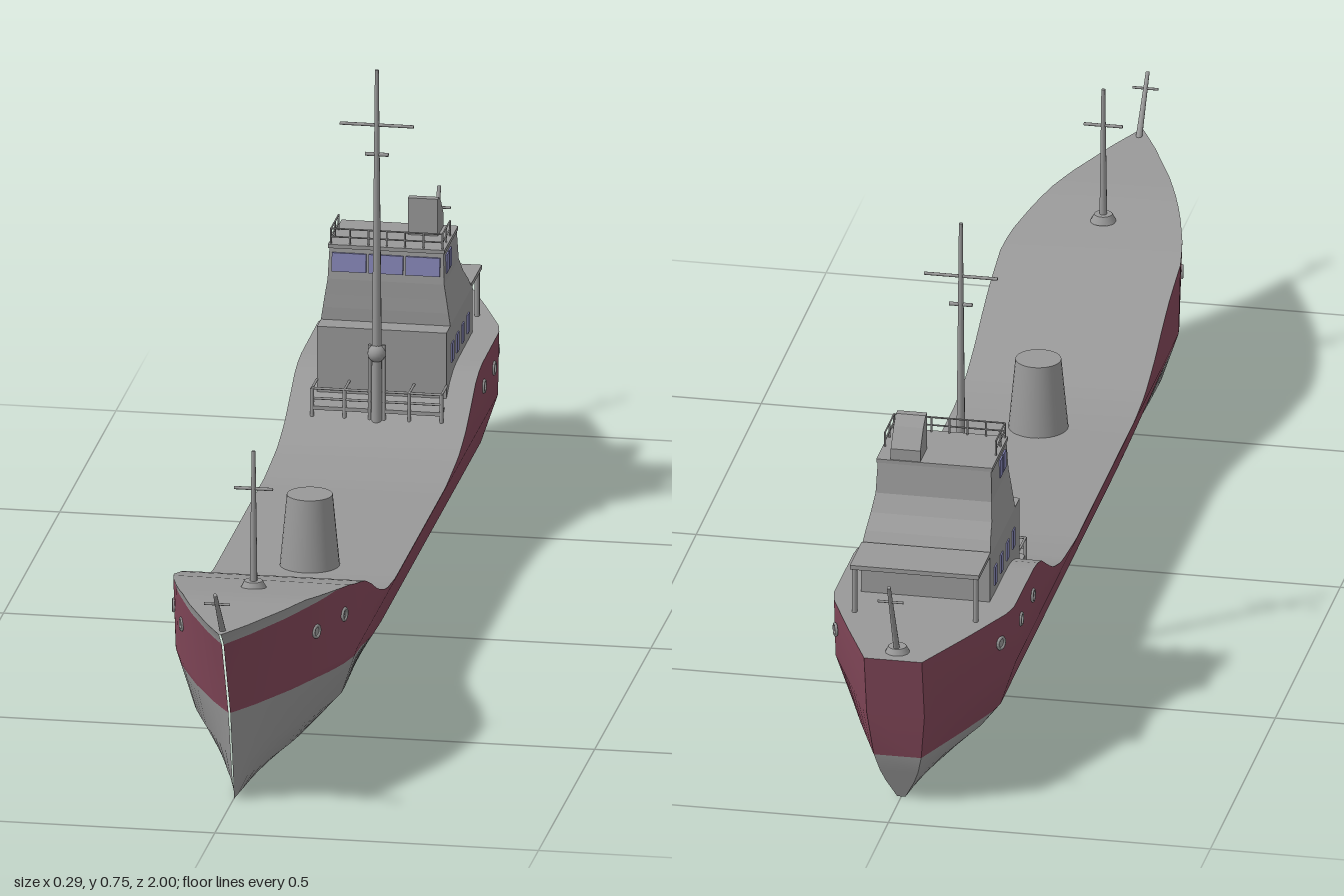
import * as THREE from 'three';

const mat = (name, color, extra = {}) => {
  const m = new THREE.MeshStandardMaterial({ color, ...extra });
  m.name = name;
  return m;
};

// piecewise linear lookup in a short [x, y] table
const lerpTable = (table, x) => {
  if (x <= table[0][0]) return table[0][1];
  for (let i = 1; i < table.length; i++) {
    const [x0, y0] = table[i - 1], [x1, y1] = table[i];
    if (x <= x1) return y0 + (y1 - y0) * (x - x0) / (x1 - x0);
  }
  return table[table.length - 1][1];
};

// hull lines: sheer, paint line, plan taper, section width and end rakes
const SHEER = [[-0.965, 0.255], [-0.56, 0.25], [-0.52, 0.24], [-0.46, 0.205], [-0.42, 0.185], [-0.36, 0.168], [-0.25, 0.157],
  [0.2, 0.157], [0.28, 0.165], [0.35, 0.188], [0.42, 0.22], [0.48, 0.242], [0.6, 0.272], [0.75, 0.295], [0.955, 0.303]];
const PAINT = [[0.18, 0.08], [0.28, 0.09], [0.37, 0.11], [0.46, 0.13], [0.58, 0.144], [0.72, 0.15]];
const PLAN = [[-0.965, 0.32], [-0.85, 0.68], [-0.74, 1], [0.57, 1], [0.63, 0.93], [0.7, 0.8], [0.8, 0.54], [0.9, 0.22], [0.955, 0.01]];
const WIDTH = [[0, 0.02], [0.04, 0.085], [0.08, 0.115], [0.155, 0.14]];
const BOW = [[0, 0.83], [0.15, 0.87], [0.28, 0.93], [0.303, 0.955]];
const STERN = [[0, -0.9], [0.08, -0.93], [0.255, -0.965]];
const hullZ = (s, y) => {
  if (s > 0.4) return 0.4 + (s - 0.4) / 0.555 * (lerpTable(BOW, y) - 0.4);
  if (s < -0.4) return -0.4 + (s + 0.4) / 0.565 * (-0.4 - lerpTable(STERN, y));
  return s;
};
const hullX = (s, y) => lerpTable(WIDTH, y) * lerpTable(PLAN, s);

const geometry = (pos, idx) => {
  const g = new THREE.BufferGeometry();
  g.setAttribute('position', new THREE.Float32BufferAttribute(pos, 3));
  g.setIndex(idx);
  g.computeVertexNormals();
  return g;
};

export function createModel() {
  const model = new THREE.Group();
  const grey = mat('shipGrey', 0x999999);
  const red = mat('hullRed', 0x84485a);
  const blue = mat('windowBlue', 0x8484b4);
  const add = (name, geo, material = grey, x = 0, y = 0, z = 0) => {
    const m = new THREE.Mesh(geo, material);
    m.name = name;
    m.position.set(x, y, z);
    model.add(m);
    return m;
  };
  const box = (name, w, h, d, x, y, z, material) => add(name, new THREE.BoxGeometry(w, h, d), material, x, y, z);
  // round bar between two points
  const bar = (name, a, b, r0 = 0.002, r1 = r0) => {
    const p = new THREE.Vector3(...a), q = new THREE.Vector3(...b), d = q.clone().sub(p);
    const m = add(name, new THREE.CylinderGeometry(r1, r0, d.length(), 10));
    m.position.copy(p).add(q).multiplyScalar(0.5);
    m.quaternion.setFromUnitVectors(new THREE.Vector3(0, 1, 0), d.normalize());
    return m;
  };

  // hull: one ring per station, from port sheer round the keel to starboard sheer
  const N = 64, R = 14, pos = [], deckPos = [], deckIdx = [], greyIdx = [], redIdx = [];
  for (let i = 0; i <= N; i++) {
    const s = -0.965 + 1.92 * i / N;
    const sheer = lerpTable(SHEER, s), paint = lerpTable(PAINT, s), top = Math.min(sheer, 0.279);
    const levels = [sheer, top, Math.max(paint + 0.01, Math.min(0.155, top)), paint, paint / 2 + 0.01, 0.03, 0];
    levels[4] = Math.min(levels[4], 0.08);
    for (let j = 0; j < R; j++) {
      const y = levels[j < 7 ? j : 13 - j];
      pos.push((j < 7 ? 1 : -1) * hullX(s, y), y, hullZ(s, y));
    }
    const x = hullX(s, sheer), z = hullZ(s, sheer), k = i * 2;
    deckPos.push(x, sheer, z, -x, sheer, z);
    if (i < N) deckIdx.push(k, k + 1, k + 3, k, k + 3, k + 2);
  }
  for (let i = 0; i < N; i++) for (let j = 0; j < R - 1; j++) {
    const a = i * R + j, b = a + 1, d = a + R, c = d + 1, row = Math.min(j, 12 - j);
    if (row === 0 && pos[a * 3 + 1] === pos[b * 3 + 1] && pos[d * 3 + 1] === pos[c * 3 + 1]) continue;
    (row === 1 || row === 2 ? redIdx : greyIdx).push(a, c, b, a, d, c);
  }
  // transom on its own copy of the aft ring
  const base = pos.length / 3;
  pos.push(...pos.slice(0, R * 3));
  for (let j = 1; j < 6; j++) {
    const a = base + j, b = a + 1, c = base + 12 - j, d = c + 1;
    (j < 3 ? redIdx : greyIdx).push(a, b, c, a, c, d);
  }
  const hull = geometry(pos, [...greyIdx, ...redIdx]);
  hull.addGroup(0, greyIdx.length, 0);
  hull.addGroup(greyIdx.length, redIdx.length, 1);
  add('hull', hull, [grey, red]);
  add('deck', geometry(deckPos, deckIdx));

  // hull portholes, turned to the local hull side
  for (const [z, y] of [[0.605, 0.23], [0.695, 0.23], [-0.585, 0.21], [-0.675, 0.21], [-0.77, 0.21]]) {
    const s = z > 0 ? 0.4 + (z - 0.4) * 0.555 / (lerpTable(BOW, y) - 0.4) : z;
    const slope = (hullX(s + 0.02, y) - hullX(s - 0.02, y)) / 0.04;
    for (const side of [1, -1]) {
      const geo = new THREE.TorusGeometry(0.009, 0.0025, 6, 16);
      const glass = new THREE.CircleGeometry(0.009, 16);
      const turn = side * (Math.PI / 2 + Math.atan(slope));
      const x = side * (hullX(s, y) + 0.001);
      add('portholeRim', geo, grey, x, y, z).rotation.y = turn;
      add('portholeGlass', glass, grey, x, y, z).rotation.y = turn;
    }
  }

  // tapered ventilator on the well deck
  add('ventilator', new THREE.CylinderGeometry(0.035, 0.046, 0.115, 32), grey, 0, 0.212, 0.155);

  // lower deckhouse and lofted wheelhouse
  box('deckhouse', 0.2, 0.135, 0.23, 0, 0.2575, -0.6);
  const sections = [[0.325, 0.1, -0.52, -0.712], [0.345, 0.097, -0.52, -0.695], [0.365, 0.094, -0.521, -0.67],
    [0.39, 0.09, -0.522, -0.652], [0.44, 0.088, -0.528, -0.645]];
  const hp = [], hi = [];
  for (const [y, x, zf, zb] of sections) hp.push(x, y, zf, x, y, zb, -x, y, zb, -x, y, zf);
  for (let i = 0; i < 4; i++) for (let j = 0; j < 4; j++) {
    const a = i * 4 + j, b = i * 4 + (j + 1) % 4;
    hi.push(a, b, b + 4, a, b + 4, a + 4);
  }
  const house = geometry(hp, hi).toNonIndexed();
  house.computeVertexNormals();
  add('wheelhouse', house);
  box('wheelhouseRoof', 0.18, 0.006, 0.122, 0, 0.441, -0.586);

  // windows
  for (const x of [-0.057, 0, 0.057])
    box('frontWindow', 0.053, 0.029, 0.006, x, 0.417, -0.5235, blue).rotation.x = -0.12;
  for (const side of [1, -1]) {
    for (const z of [-0.553, -0.577]) box('wheelhouseSideWindow', 0.004, 0.029, 0.019, side * 0.089, 0.416, z, blue);
    for (const z of [-0.535, -0.58, -0.628, -0.674]) box('deckhouseWindow', 0.004, 0.03, 0.017, side * 0.1, 0.28, z, blue);
  }
  box('aftDoor', 0.035, 0.06, 0.004, 0, 0.283, -0.715);

  // awning behind the deckhouse
  box('awning', 0.2, 0.007, 0.09, 0, 0.329, -0.755);
  for (const x of [-0.094, 0.094]) bar('awningPost', [x, 0.25, -0.793], [x, 0.33, -0.793], 0.004);

  // funnel with raked top
  const profile = new THREE.Shape([[0.592, 0.43], [0.645, 0.43], [0.645, 0.462], [0.622, 0.49], [0.604, 0.503], [0.592, 0.503]]
    .map(([z, y]) => new THREE.Vector2(z, y)));
  const funnel = add('funnel', new THREE.ExtrudeGeometry(profile, { depth: 0.046, bevelEnabled: false }), grey, 0.022);
  funnel.rotation.y = Math.PI / 2;

  // wheelhouse roof railing
  for (const y of [0.455, 0.468]) {
    bar('roofRail', [-0.086, y, -0.53], [0.086, y, -0.53], 0.0013);
    for (const x of [-0.086, 0.086]) bar('roofRail', [x, y, -0.53], [x, y, -0.598], 0.0013);
  }
  for (const x of [-0.086, -0.057, -0.028, 0, 0.028, 0.057, 0.086])
    bar('roofRailPost', [x, 0.44, -0.53], [x, 0.468, -0.53], 0.0015);
  for (const x of [-0.086, 0.086]) for (const z of [-0.564, -0.598])
    bar('roofRailPost', [x, 0.44, z], [x, 0.468, z], 0.0015);

  // gallery in front of the deckhouse
  box('galleryFloor', 0.2, 0.006, 0.05, 0, 0.209, -0.465);
  for (const y of [0.224, 0.24]) bar('galleryRail', [-0.1, y, -0.442], [0.1, y, -0.442]);
  for (const x of [-0.1, -0.05, 0.05, 0.1]) {
    bar('galleryPost', [x, 0.17, -0.442], [x, 0.24, -0.442], 0.003);
    bar('galleryRail', [x, 0.24, -0.442], [x, 0.24, -0.486]);
  }

  // main mast with yards and lamp
  bar('mainMast', [0, 0.17, -0.442], [0, 0.755, -0.442], 0.009, 0.003);
  bar('mainYard', [-0.057, 0.667, -0.442], [0.057, 0.667, -0.442], 0.0025);
  bar('smallYard', [-0.018, 0.62, -0.442], [0.018, 0.62, -0.442], 0.003);
  add('mastLamp', new THREE.SphereGeometry(0.014, 16, 10), grey, 0, 0.302, -0.44);
  for (const x of [-0.011, 0.011]) bar('mastBrace', [x, 0.18, -0.442], [x, 0.315, -0.442], 0.003);

  // fore mast
  bar('foreMast', [0, 0.28, 0.655], [0, 0.5, 0.655], 0.006, 0.003);
  bar('foreYard', [-0.03, 0.44, 0.655], [0.03, 0.44, 0.655], 0.0025);
  add('foreMastFoot', new THREE.CylinderGeometry(0.014, 0.02, 0.012, 20), grey, 0, 0.287, 0.655);

  // raked staffs at bow and stern
  bar('bowStaff', [0, 0.295, 0.925], [0, 0.38, 0.997], 0.005, 0.003);
  bar('bowStaffYard', [-0.02, 0.36, 0.98], [0.02, 0.36, 0.98], 0.002);
  bar('sternStaff', [0, 0.25, -0.93], [0, 0.39, -0.997], 0.005, 0.003);
  bar('sternStaffYard', [-0.02, 0.36, -0.983], [0.02, 0.36, -0.983], 0.002);
  add('sternStaffFoot', new THREE.CylinderGeometry(0.014, 0.02, 0.012, 20), grey, 0, 0.258, -0.93);

  return model;
}
